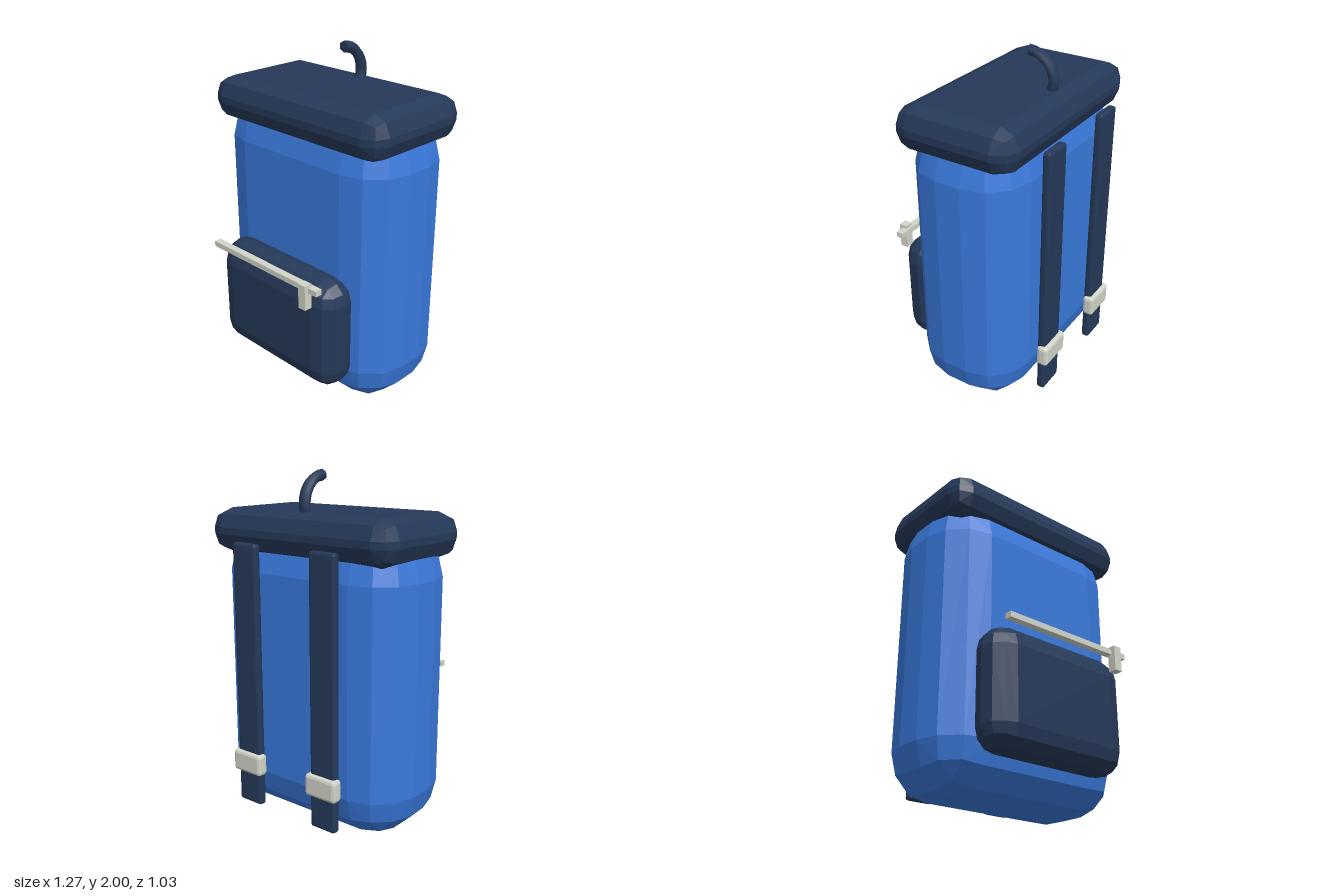
import * as THREE from 'three';
import { ConvexGeometry } from 'three/addons/geometries/ConvexGeometry.js';

// Box between two corners with edges and corners rounded in n (2 or 3) flat facets
function bevelBox(min, max, r, n) {
  const dirs = [];
  for (let i = 0; i < n; i++) {
    const a = (i / n) * Math.PI / 2, c = Math.cos(a), s = Math.sin(a);
    dirs.push([c, s, 0], [0, c, s], [s, 0, c]);
  }
  const q = Math.sqrt(3);
  const inner = n === 2 ? [[1, 1, 1]] : [[q, 1, 1], [1, q, 1], [1, 1, q]];
  for (const v of inner) {
    const l = Math.hypot(...v);
    dirs.push(v.map((e) => e / l));
  }
  const points = [];
  for (const sx of [-1, 1]) for (const sy of [-1, 1]) for (const sz of [-1, 1]) {
    const sign = [sx, sy, sz];
    for (const d of dirs) {
      points.push(new THREE.Vector3(...sign.map((s, k) =>
        (s > 0 ? max[k] - r : min[k] + r) + s * d[k] * r)));
    }
  }
  return new ConvexGeometry(points);
}

function plainBox(min, max) {
  const size = max.map((m, k) => m - min[k]);
  return new THREE.BoxGeometry(...size).translate(...max.map((m, k) => (m + min[k]) / 2));
}

function material(name, color) {
  const m = new THREE.MeshStandardMaterial({ color });
  m.name = name;
  return m;
}

export function createModel() {
  const group = new THREE.Group();
  group.name = 'backpack';
  const blue = material('blue fabric', 0x3a79dc);
  const navy = material('navy fabric', 0x253959);
  const metal = material('pale metal', 0xd2d5c9);

  const add = (name, geometry, mat) => {
    const mesh = new THREE.Mesh(geometry, mat);
    mesh.name = name;
    group.add(mesh);
    return mesh;
  };

  // Main bag, lid and front pocket
  add('body', bevelBox([-0.633, 0, -0.395], [0.633, 1.7, 0.275], 0.26, 3), blue);
  add('lid', bevelBox([-0.633, 1.53, -0.419], [0.633, 1.78, 0.299], 0.105, 2), navy);
  add('pocket', bevelBox([-0.465, 0.175, 0.18], [0.465, 0.85, 0.447], 0.13, 3), navy);

  // Zip along the pocket top, with its pull
  add('zip', plainBox([-0.42, 0.832, 0.449], [0.42, 0.864, 0.491]), metal);
  add('zipPull', plainBox([0.312, 0.735, 0.466], [0.362, 0.88, 0.515]), metal);

  // Shoulder straps with buckles
  for (const [side, x] of [['left', 0.275], ['right', -0.275]]) {
    add(side + 'Strap', bevelBox([x - 0.084, 0.09, -0.49], [x + 0.084, 1.61, -0.441], 0.015, 2), navy);
    add(side + 'Buckle', bevelBox([x - 0.104, 0.28, -0.515], [x + 0.104, 0.405, -0.447], 0.018, 2), metal);
  }

  // Carry loop: a half ring that curves up from the lid, with a closed end
  const R = 0.146, tube = 0.032;
  const loop = add('carryLoop', new THREE.TorusGeometry(R, tube, 6, 14, Math.PI)
    .rotateZ(Math.PI / 2).rotateY(-Math.PI / 2), navy);
  loop.position.set(0, 2 - R - tube, -0.146);
  const end = add('carryLoopEnd', new THREE.CircleGeometry(tube, 6, Math.PI / 2), navy);
  end.position.set(0, 2 - tube, -0.146);

  return group;
}
